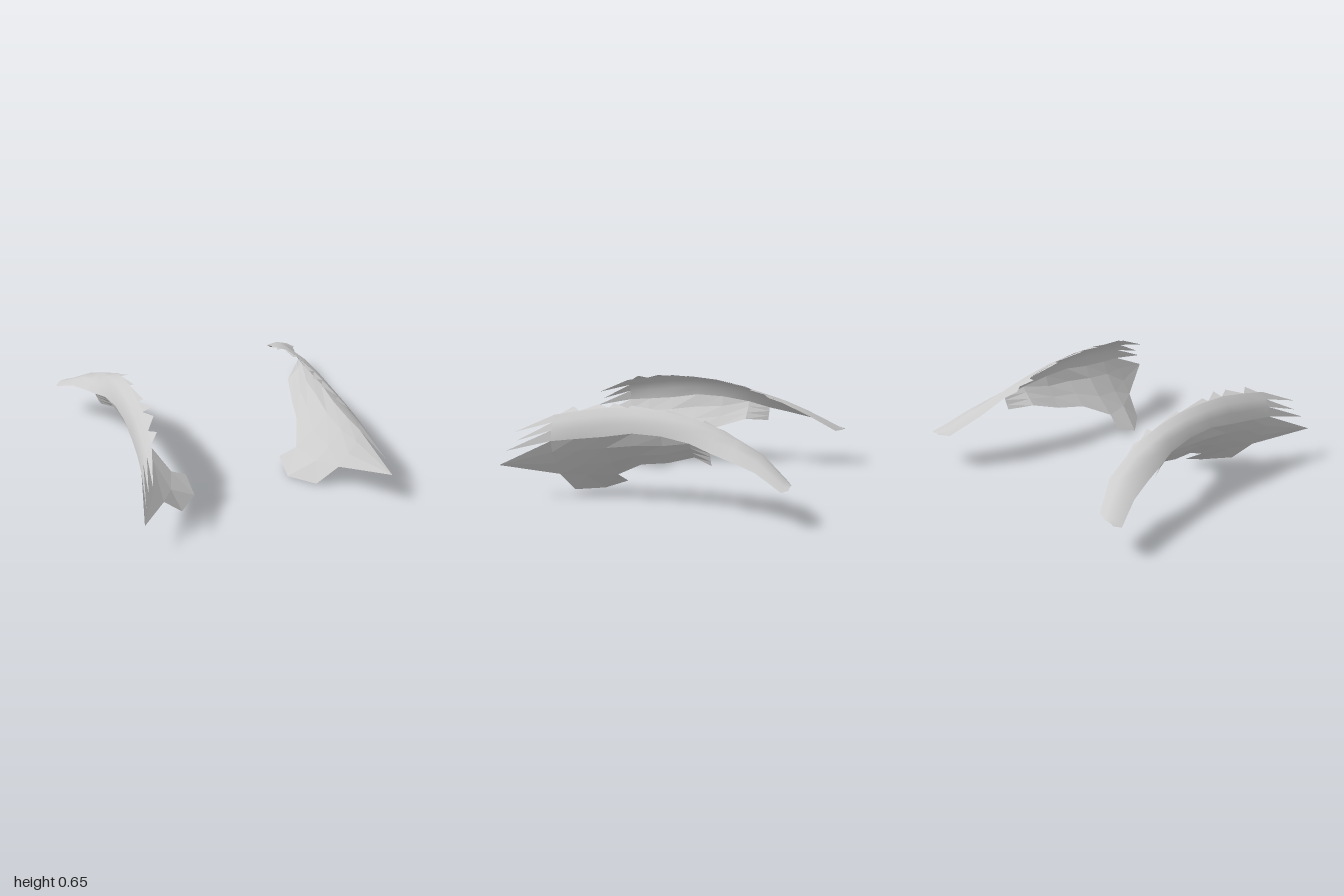
import * as THREE from 'three';

// Cross-sections from front to back: z, then [x, y] points from the inner top edge to the outer ridge
const upperRows = [
  [0.66, [0.70, 0.575], [0.735, 0.53], [0.76, 0.48], [0.775, 0.41]],
  [0.5, [0.675, 0.605], [0.72, 0.56], [0.745, 0.50], [0.752, 0.43]],
  [0.3, [0.65, 0.635], [0.70, 0.59], [0.727, 0.53], [0.735, 0.455]],
  [0.1, [0.64, 0.64], [0.69, 0.605], [0.72, 0.55], [0.73, 0.49]],
  [-0.1, [0.625, 0.628], [0.685, 0.60], [0.72, 0.55], [0.732, 0.485]],
  [-0.3, [0.62, 0.59], [0.68, 0.57], [0.725, 0.53], [0.752, 0.455]],
  [-0.45, [0.615, 0.54], [0.69, 0.53], [0.75, 0.48], [0.79, 0.41]],
  [-0.6, [0.63, 0.475], [0.70, 0.485], [0.77, 0.445], [0.832, 0.375]],
  [-0.77, [0.66, 0.395], [0.74, 0.41], [0.82, 0.385], [0.885, 0.33]],
  [-0.96, [0.775, 0.265], [0.84, 0.285], [0.92, 0.27], [0.97, 0.24]],
  [-1, [0.86, 0.26], [0.88, 0.265], [0.92, 0.26], [0.935, 0.25]],
];

// Cross-sections from the ridge down to the lower edge
const lowerRows = [
  [0.66, [0.775, 0.41], [0.75, 0.33], [0.70, 0.24], [0.63, 0.15]],
  [0.5, [0.752, 0.43], [0.71, 0.34], [0.62, 0.22], [0.53, 0.125]],
  [0.3, [0.735, 0.455], [0.69, 0.37], [0.59, 0.25], [0.465, 0.135]],
  [0.1, [0.73, 0.49], [0.70, 0.40], [0.63, 0.32], [0.55, 0.24]],
  [-0.1, [0.732, 0.485], [0.705, 0.415], [0.655, 0.345], [0.595, 0.275]],
  [-0.3, [0.752, 0.455], [0.725, 0.42], [0.685, 0.38], [0.645, 0.34]],
  [-0.45, [0.79, 0.41], [0.78, 0.385], [0.765, 0.35], [0.75, 0.32]],
];

// Top edge barbs: back z, front z, tip
const barbs = [
  [-0.58, -0.44, [0.59, 0.52, -0.49]],
  [-0.45, -0.35, [0.57, 0.575, -0.35]],
  [-0.33, -0.1, [0.595, 0.632, -0.1]],
  [-0.1, 0.16, [0.60, 0.65, 0.15]],
  [0.16, 0.29, [0.58, 0.655, 0.28]],
  [0.29, 0.49, [0.60, 0.645, 0.38]],
  [0.49, 0.62, [0.63, 0.625, 0.55]],
];

const expand = rows => rows.map(([z, ...pts]) => pts.map(([x, y]) => [x, y, z]));

// Indexed surface through a list of equal-length rows
function surface(rows, side) {
  const n = rows[0].length, index = [];
  for (let i = 0; i < rows.length - 1; i++) {
    for (let j = 0; j < n - 1; j++) {
      const a = i * n + j, b = a + 1, c = a + n, d = c + 1;
      if (side > 0) index.push(a, b, c, b, d, c);
      else index.push(a, c, b, b, c, d);
    }
  }
  return finish(rows.flat(), index, side);
}

// Separate triangles
function triangles(list, side) {
  const index = [];
  list.forEach((t, i) => index.push(i * 3, i * 3 + (side > 0 ? 1 : 2), i * 3 + (side > 0 ? 2 : 1)));
  return finish(list.flat(), index, side);
}

function finish(points, index, side) {
  const g = new THREE.BufferGeometry();
  const pos = points.flatMap(([x, y, z]) => [x * side, y, z]);
  g.setAttribute('position', new THREE.Float32BufferAttribute(pos, 3));
  g.setIndex(index);
  g.computeVertexNormals();
  return g;
}

// Point on the inner top edge at a given z
function topEdge(z) {
  const i = Math.max(1, upperRows.findIndex(r => r[0] <= z));
  const [z0, a] = upperRows[i - 1], [z1, b] = upperRows[i];
  const t = (z - z0) / (z1 - z0);
  return [a[0] + (b[0] - a[0]) * t, a[1] + (b[1] - a[1]) * t, z];
}

export function createModel() {
  const model = new THREE.Group();
  model.name = 'shellPair';
  const grey = new THREE.MeshStandardMaterial({ color: 0xcccccc, side: THREE.DoubleSide });
  grey.name = 'light grey';
  const facetedGrey = grey.clone();
  facetedGrey.flatShading = true;

  const upper = expand(upperRows), lower = expand(lowerRows);
  const [u0, u1, u2, ridge] = upper[0];

  for (const side of [1, -1]) {
    const shell = new THREE.Group();
    shell.name = side > 0 ? 'leftShell' : 'rightShell';
    const add = (name, geometry, material = facetedGrey) => {
      const mesh = new THREE.Mesh(geometry, material);
      mesh.name = name;
      shell.add(mesh);
    };

    // Smooth curved back and faceted underside
    add('upperBand', surface(upper, side), grey);
    add('lowerPanel', surface(lower, side));

    // Foot flap hanging from the lower edge
    const foot = [[0.49, 0.01, 0.61], [0.345, 0, 0.44], [0.35, 0.065, 0.27]];
    add('footFlap', surface(foot.map((p, i) => [lower[i][3], p]), side));

    // Pointed front corner
    const tip = [0.86, 0.24, 1];
    add('frontTip', triangles([0, 1, 2].map(j => [lower[0][j], tip, lower[0][j + 1]]), side));

    // Swept spikes on the front edge
    add('frontSpikes', triangles([
      [u0, [0.775, 0.455, 0.92], u1],
      [u1, [0.80, 0.40, 0.90], u2],
      [u2, [0.835, 0.335, 0.96], ridge],
    ], side));

    // Saw-toothed inner top edge
    add('topBarbs', triangles(barbs.map(([b, f, p]) => [topEdge(b), p, topEdge(f)]), side));
    model.add(shell);
  }
  return model;
}
